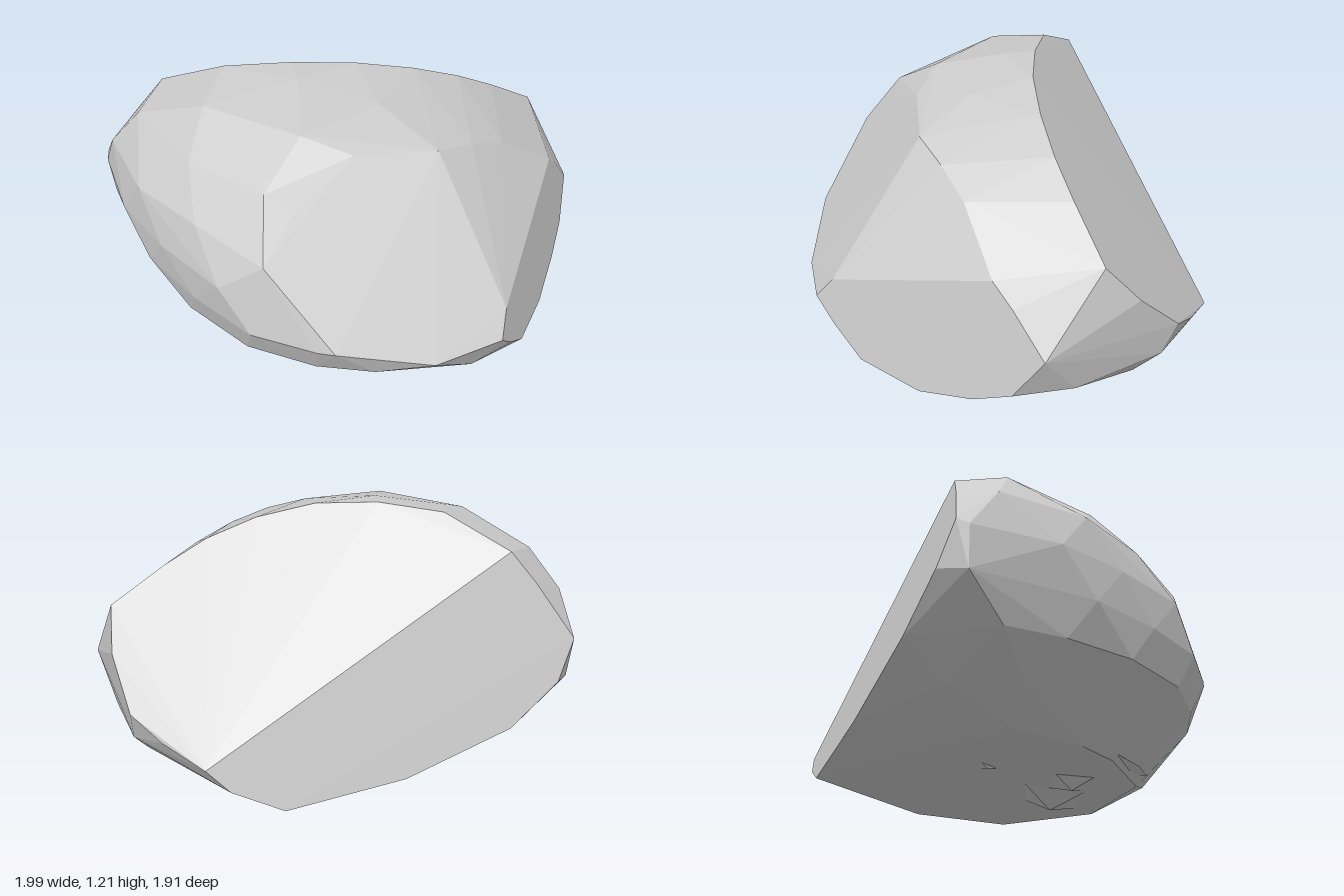
import * as THREE from 'three';
import { ConvexGeometry } from 'three/addons/geometries/ConvexGeometry.js';

const material = new THREE.MeshStandardMaterial({ color: 0xcccccc, flatShading: true, side: THREE.DoubleSide });

// Planes of the large broken faces: each fills in the missing coordinate.
const onFrontCut = (x, z) => [x, (1.667 - x - 0.785 * z) / 0.97, z];
const onBackCut = (x, z) => [x, (1.765 + x + 1.416 * z) / 1.44, z];
const onLeftWall = (y, z) => [1.009 - 0.181 * y + 0.181 * z, y, z];
const onRightWall = (y, z) => [0.304 * y - 0.66 * z - 0.84, y, z];
const atHeight = (y, pairs) => pairs.map(([x, z]) => [x, y, z]);

function facetedSolid(name, points) {
  const geometry = new ConvexGeometry(points.map((p) => new THREE.Vector3(...p)));
  const mesh = new THREE.Mesh(geometry, material);
  mesh.name = name;
  return mesh;
}

function boulderPoints() {
  const frontCut = [
    [0.2, 0.88], [0.21, 0.7], [0.3, 0.4], [0.54, 0.14], [0.83, 0.6], [0.52, 0.86],
  ].map((p) => onFrontCut(...p));

  const backCut = [
    [-0.45, 0.28], [-0.2, 0.13], [0.02, -0.04], [0.2, -0.23], [0.33, -0.41],
    [0.42, -0.58], [0.52, -0.81], [0.4, -0.9], [0.2, -0.96], [0.03, -0.925],
  ].map((p) => onBackCut(...p));

  const leftWall = [
    [0.4, 0.35], [0.5, 0.27], [0.73, -0.48], [0.64, -0.58], [0.47, -0.74],
    [0.28, -0.62], [0.2, -0.45], [0.14, -0.2], [0.18, 0.1], [0.3, 0.25],
  ].map((p) => onLeftWall(...p));

  const rightWall = [
    [1.06, 0.36], [0.27, -0.87], [0.17, -0.8], [0.07, -0.63], [0.15, -0.18],
    [0.32, 0.24], [0.5, 0.45], [0.68, 0.54], [0.93, 0.43],
  ].map((p) => onRightWall(...p));

  // Rounded front, from the flat base up to the crown
  const front = [
    ...atHeight(0.07, [[-0.42, 0.2], [-0.4, 0.42], [-0.1, 0.55], [0.12, 0.57], [0.5, 0.5],
      [0.78, 0.12], [0.7, -0.35], [0.3, -0.6]]),
    ...atHeight(0.19, [[-0.7, 0.3], [-0.55, 0.55], [0.88, 0.36]]),
    ...atHeight(0.32, [[-0.77, 0.6], [-0.55, 0.74], [-0.25, 0.86], [0.1, 0.9], [0.4, 0.83], [0.62, 0.72]]),
    ...atHeight(0.48, [[-0.95, 0.57], [-0.48, 0.84], [-0.15, 0.92], [0.17, 0.955], [0.45, 0.885]]),
    ...atHeight(0.66, [[-0.96, 0.58], [-0.65, 0.79], [-0.34, 0.89], [0.02, 0.955]]),
    ...atHeight(0.85, [[-0.84, 0.63], [-0.5, 0.82], [-0.15, 0.87]]),
    ...atHeight(1.02, [[-0.7, 0.58], [-0.28, 0.73], [0.1, 0.73]]),
    ...atHeight(1.15, [[-0.36, 0.53], [0.1, 0.48]]),
  ];

  // Crown and rear underside
  const rest = [
    [-0.1, 1.21, 0.22], [0.25, 1.15, 0.12], [0.6, 1.0, -0.04], [0.66, 0.92, -0.22],
    [0.25, 0.28, -0.92], [0.3, 0.17, -0.82], [0.62, 0.25, -0.76],
  ];
  return [...frontCut, ...backCut, ...leftWall, ...rightWall, ...front, ...rest];
}

export function createModel() {
  const group = new THREE.Group();
  group.name = 'rock';
  group.add(facetedSolid('boulder', boulderPoints()));

  // Small lumps under the base
  group.add(facetedSolid('baseLumpLarge', [
    [0.15, 0.08, 0.1], [0.4, 0.08, -0.05], [0.68, 0.08, 0.1], [0.45, 0.08, 0.28], [0.4, 0.0, 0.1],
  ]));
  group.add(facetedSolid('baseLumpMiddle', [
    [0.12, 0.08, 0.28], [0.3, 0.08, 0.13], [0.45, 0.08, 0.25], [0.28, 0.08, 0.42], [0.25, 0.02, 0.3],
  ]));
  group.add(facetedSolid('baseLumpSmall', [
    [-0.2, 0.08, 0.1], [-0.1, 0.08, 0.02], [-0.04, 0.08, 0.12], [-0.12, 0.055, 0.1],
  ]));

  // Thin chip at the lower front edge
  group.add(facetedSolid('frontChip', [
    [0.1, 0.09, 0.6], [0.45, 0.12, 0.56], [0.47, 0.1, 0.57], [0.35, 0.08, 0.48], [0.3, 0.09, 0.61],
  ]));
  return group;
}
